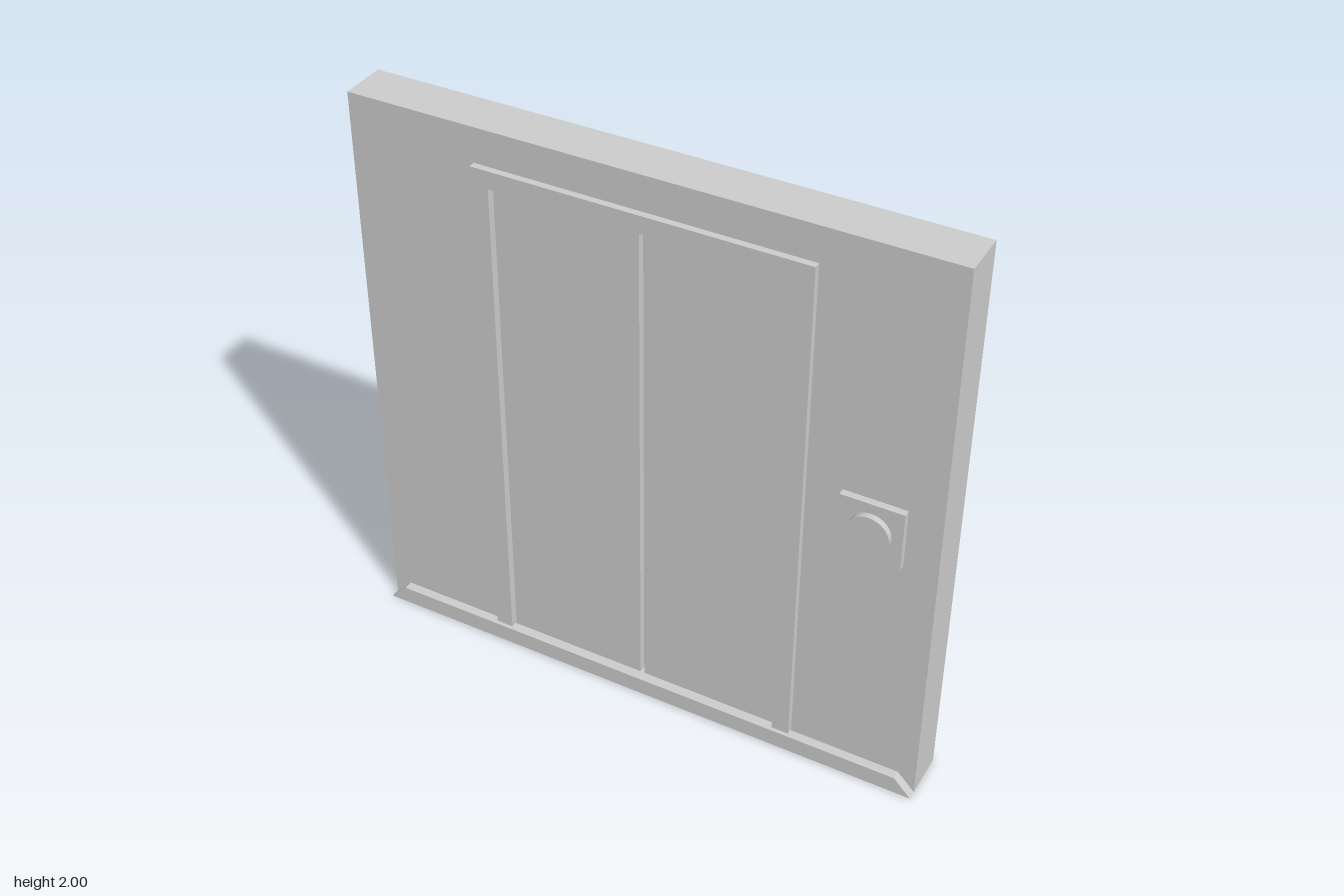
import * as THREE from 'three';

const grey = new THREE.MeshStandardMaterial({ color: 0xcccccc, flatShading: true, side: THREE.DoubleSide });
const smooth = new THREE.MeshStandardMaterial({ color: 0xcccccc });

function add(parent, name, geometry, x = 0, y = 0, z = 0, material = grey) {
  const mesh = new THREE.Mesh(geometry, material);
  mesh.name = name;
  mesh.position.set(x, y, z);
  parent.add(mesh);
  return mesh;
}

const outline = pts => pts.map(([x, y]) => new THREE.Vector2(x, y));
const rect = (w, y0, y1) => outline([[-w, y0], [w, y0], [w, y1], [-w, y1]]);
const extrude = (pts, depth) =>
  new THREE.ExtrudeGeometry(new THREE.Shape(outline(pts)), { depth, bevelEnabled: false });

// Flat wall sheet with the doorway cut out
function wallSheet(w, y0, y1) {
  const shape = new THREE.Shape(rect(w, y0, y1));
  shape.holes.push(new THREE.Path(rect(0.5, 0.062, 1.82)));
  return new THREE.ShapeGeometry(shape);
}

// Four thin sides of a rectangular sleeve, open at front and back
function sleeve(parent, name, w, y0, y1, z0, z1) {
  const group = new THREE.Group();
  group.name = name;
  const depth = z1 - z0, zc = (z0 + z1) / 2;
  for (const s of [-1, 1]) {
    const side = add(group, s > 0 ? 'leftSide' : 'rightSide',
      new THREE.PlaneGeometry(depth, y1 - y0), s * w, (y0 + y1) / 2, zc);
    side.rotation.y = s * Math.PI / 2;
    const level = add(group, s > 0 ? 'topSide' : 'bottomSide',
      new THREE.PlaneGeometry(2 * w, depth), 0, s > 0 ? y1 : y0, zc);
    level.rotation.x = -s * Math.PI / 2;
  }
  parent.add(group);
}

export function createModel() {
  const model = new THREE.Group();
  model.name = 'elevatorEntrance';

  // Hollow wall: outer shell, inner lining and the two sheets
  sleeve(model, 'outerShell', 1, 0, 2, -0.1, 0.06);
  sleeve(model, 'innerLining', 0.94, 0.06, 1.94, -0.105, 0.06);
  add(model, 'frontWall', wallSheet(1, 0, 2), 0, 0, 0.06);
  add(model, 'backWall', wallSheet(0.94, 0.06, 1.94), 0, 0, 0);

  // Door surround running through the wall
  add(model, 'doorFrame', extrude([
    [-0.56, 0.068], [-0.5, 0.068], [-0.5, 1.82], [0.5, 1.82],
    [0.5, 0.068], [0.56, 0.068], [0.56, 1.88], [-0.56, 1.88],
  ], 0.118), 0, 0, -0.035);

  // Pair of sliding doors with a narrow gap
  for (const s of [-1, 1]) {
    add(model, s > 0 ? 'leftDoor' : 'rightDoor',
      new THREE.BoxGeometry(0.493, 1.76, 0.035), s * 0.2535, 0.94, 0.0375);
  }

  // Skirting with mitred ends
  add(model, 'skirting', extrude([[-1, 0], [1, 0], [0.94, 0.063], [-0.94, 0.063]], 0.032), 0, 0, 0.06);

  // Call button on its plate
  add(model, 'buttonPlate', new THREE.BoxGeometry(0.21, 0.21, 0.025), 0.783, 1.025, 0.0715);
  const button = add(model, 'callButton',
    new THREE.CylinderGeometry(0.07, 0.07, 0.025, 32), 0.783, 1.025, 0.0925, smooth);
  button.rotation.x = Math.PI / 2;

  return model;
}
